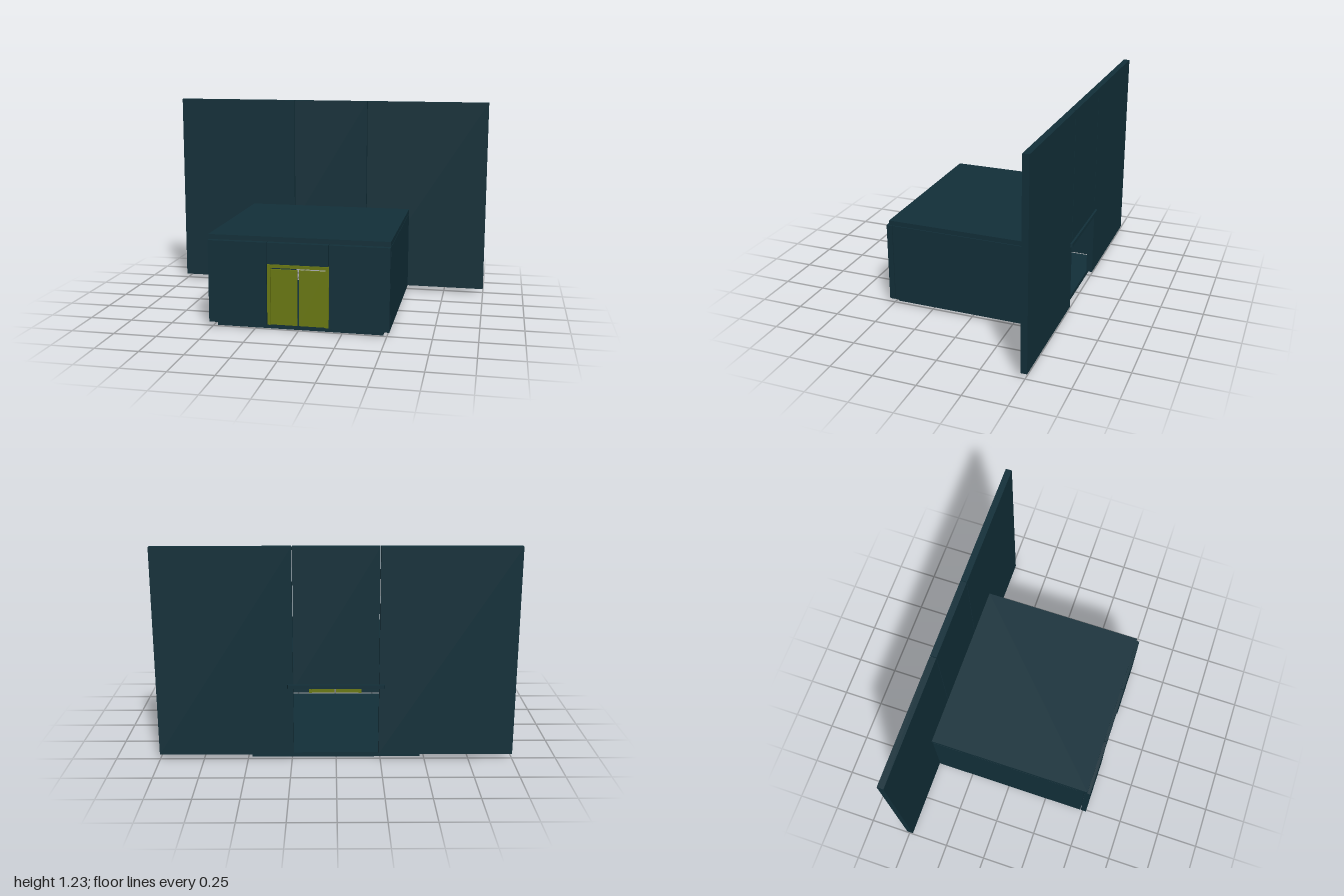
import * as THREE from 'three';

export function createModel() {
  const model = new THREE.Group();
  const wallMat = new THREE.MeshStandardMaterial({ color: 0x12303a });
  const doorMat = new THREE.MeshStandardMaterial({ color: 0x6b7a12 });

  // Box given by its extents on each axis
  function block(name, [x0, x1], [y0, y1], [z0, z1], mat = wallMat, parent = model) {
    const mesh = new THREE.Mesh(new THREE.BoxGeometry(x1 - x0, y1 - y0, z1 - z0), mat);
    mesh.position.set((x0 + x1) / 2, (y0 + y1) / 2, (z0 + z1) / 2);
    mesh.name = name;
    parent.add(mesh);
    return mesh;
  }

  // The same box on the left (+x) and right (-x)
  function pair(name, [x0, x1], y, z, mat = wallMat, parent = model) {
    block(name + 'Left', [x0, x1], y, z, mat, parent);
    block(name + 'Right', [-x1, -x0], y, z, mat, parent);
  }

  // Floor, side walls and roof of the room
  block('floor', [-0.478, 0.478], [0, 0.026], [-0.473, 0.485]);
  pair('sideWall', [0.48, 0.516], [0.03, 0.506], [-0.47, 0.485]);
  block('roof', [-0.516, 0.516], [0.509, 0.537], [-0.473, 0.505]);

  // Front wall: two panels and a lintel over the doorway
  const front = new THREE.Group();
  front.name = 'frontWall';
  model.add(front);
  pair('frontPanel', [0.178, 0.516], [0.03, 0.506], [0.489, 0.523], wallMat, front);
  block('frontLintel', [-0.174, 0.174], [0.384, 0.506], [0.489, 0.523], wallMat, front);

  // Door frame and double doors
  const door = new THREE.Group();
  door.name = 'entrance';
  model.add(door);
  pair('doorJamb', [0.158, 0.176], [0.03, 0.38], [0.485, 0.515], doorMat, door);
  block('doorHeader', [-0.158, 0.158], [0.362, 0.38], [0.485, 0.515], doorMat, door);
  pair('doorLeaf', [0.005, 0.156], [0.03, 0.351], [0.494, 0.506], doorMat, door);

  // Tall back wall with an opening under its middle panel
  const back = new THREE.Group();
  back.name = 'backWall';
  model.add(back);
  pair('backPanel', [0.24, 1], [0.03, 1.225], [-0.511, -0.474], wallMat, back);
  block('backMiddlePanel', [-0.236, 0.236], [0.43, 1.225], [-0.511, -0.474], wallMat, back);

  // Beam over the back opening, with chamfered ends
  const outline = new THREE.Shape([
    new THREE.Vector2(-0.272, 0), new THREE.Vector2(0.272, 0),
    new THREE.Vector2(0.266, 0.012), new THREE.Vector2(-0.266, 0.012),
  ]);
  const beam = new THREE.Mesh(
    new THREE.ExtrudeGeometry(outline, { depth: 0.022, bevelEnabled: false }), wallMat);
  beam.name = 'backBeam';
  beam.rotation.x = -Math.PI / 2;
  beam.position.set(0, 0.428, -0.511);
  back.add(beam);

  return model;
}
